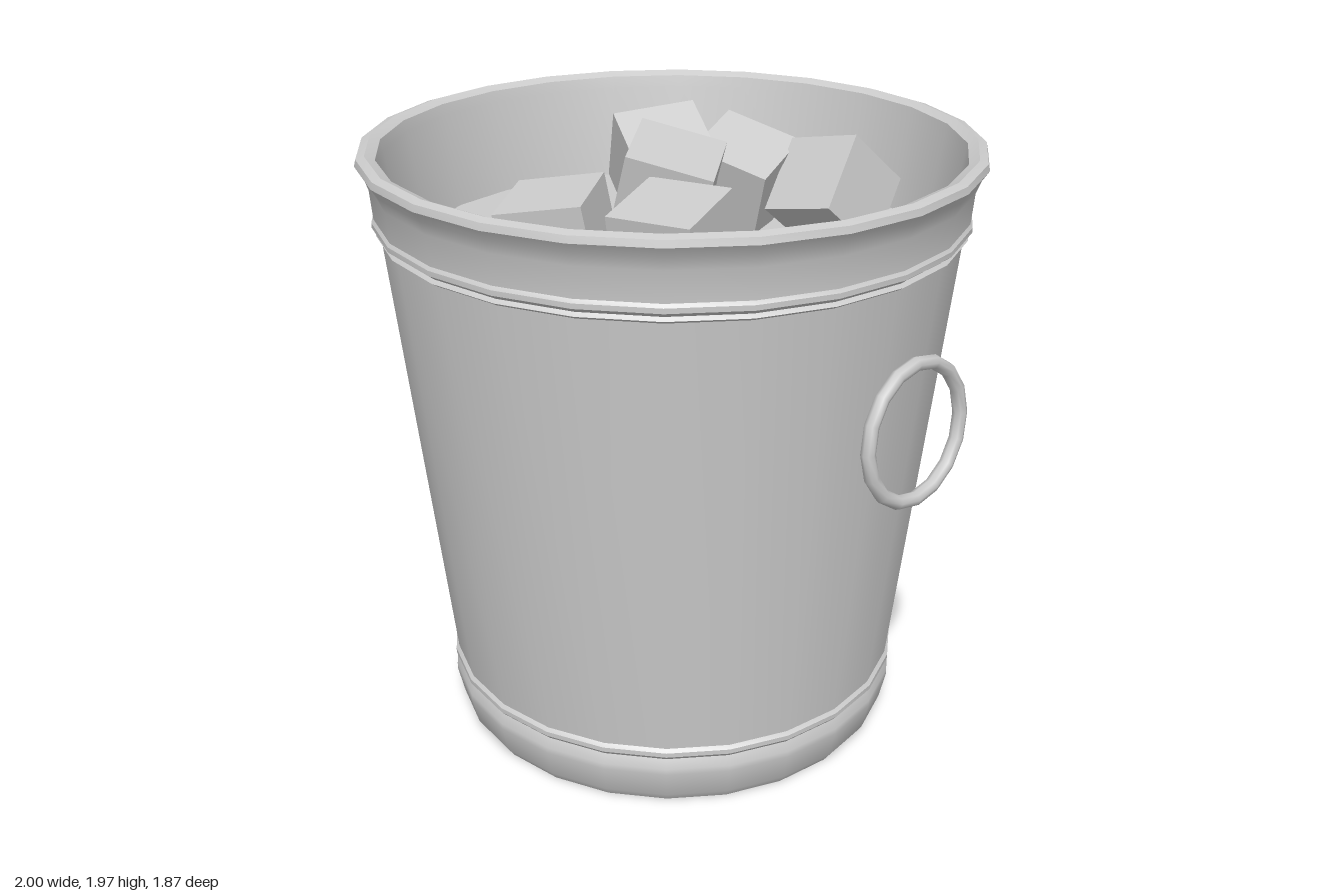
import * as THREE from 'three';
import { toCreasedNormals } from 'three/addons/utils/BufferGeometryUtils.js';

const SEGMENTS = 24;
const material = new THREE.MeshStandardMaterial({ color: 0xcccccc });

function addMesh(parent, name, geometry) {
  const mesh = new THREE.Mesh(geometry, material);
  mesh.name = name;
  parent.add(mesh);
  return mesh;
}

// Turned part from [radius, height] pairs, listed up the outside and down the inside
function turned(profile) {
  const points = profile.map(([r, y]) => new THREE.Vector2(r, y));
  return toCreasedNormals(new THREE.LatheGeometry(points, SEGMENTS), 0.6);
}

function disc(radius, y, facing) {
  return new THREE.CircleGeometry(radius, SEGMENTS)
    .rotateX(-facing * Math.PI / 2).rotateY(Math.PI / 2).translate(0, y, 0);
}

// Cube hung from its highest corner; a and b are the directions of two edges
function iceCube(corner, a, b, size) {
  const u = new THREE.Vector3(...a).normalize();
  const v = new THREE.Vector3(...b);
  v.addScaledVector(u, -v.dot(u)).normalize();
  const w = new THREE.Vector3().crossVectors(u, v);
  const down = w.y > 0 ? -1 : 1;
  const centre = new THREE.Vector3(...corner)
    .addScaledVector(u, size / 2).addScaledVector(v, size / 2).addScaledVector(w, down * size / 2);
  const matrix = new THREE.Matrix4().makeBasis(u, v, w).setPosition(centre);
  return new THREE.BoxGeometry(size, size, size).applyMatrix4(matrix);
}

export function createModel() {
  const model = new THREE.Group();
  model.name = 'iceBucket';

  // Foot band, tapered wall, bead and flared rim
  addMesh(model, 'bucketShell', turned([
    [0.70, 0], [0.72, 0.03], [0.74, 0.12], [0.74, 0.14], [0.727, 0.17], [0.74, 0.185], [0.74, 0.2], [0.73, 0.21],
    [0.875, 1.64], [0.89, 1.65], [0.88, 1.66], [0.9, 1.675], [0.9, 1.69], [0.893, 1.70],
    [0.9, 1.79], [0.915, 1.83], [0.935, 1.86], [0.93, 1.88], [0.905, 1.888], [0.875, 1.875],
    [0.868, 1.84], [0.82, 1.54],
  ]));
  addMesh(model, 'base', disc(0.70, 0, -1));
  addMesh(model, 'iceSurface', disc(0.822, 1.545, 1));

  // Ring handles, leaning out at the bottom
  for (const side of [1, -1]) {
    const ring = new THREE.TorusGeometry(0.2, 0.021, 8, 16)
      .rotateY(Math.PI / 2).rotateZ(side * 0.07);
    const handle = addMesh(model, side > 0 ? 'leftRingHandle' : 'rightRingHandle', ring);
    handle.position.set(side * 0.964, 1.25, 0);
  }

  // Loose ice cubes: top corner, then two edge directions
  const ice = new THREE.Group();
  ice.name = 'iceCubes';
  model.add(ice);
  [
    [[0.34, 1.88, -0.44], [-45, -10, 2], [6, -30, -34]],
    [[-0.14, 1.88, -0.38], [43, -13, -17], [13, -12, 41]],
    [[-0.09, 1.955, -0.17], [37, -22, 15], [-22, -3, 43]],
    [[0.01, 1.97, 0.13], [37, -12, -30], [35, -11, 37]],
    [[0.445, 1.87, 0.2], [-45, -0.6, 15], [13, -8.6, 46]],
    [[0.09, 1.87, 0.35], [-41, -8, 27], [28, -5, 43]],
  ].forEach(([corner, a, b], i) => addMesh(ice, `iceCube${i + 1}`, iceCube(corner, a, b, 0.255)));

  return model;
}
